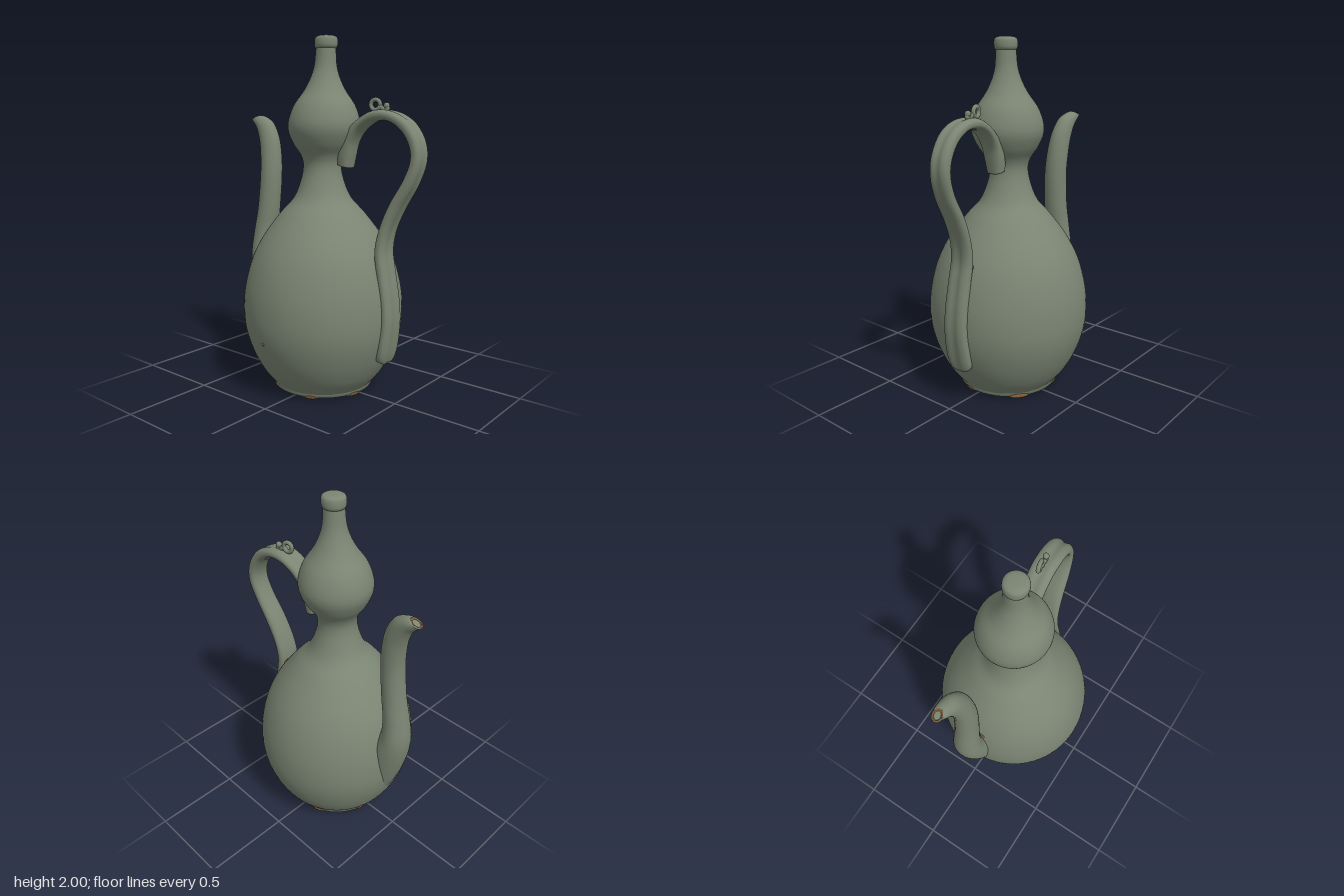
import * as THREE from 'three';

const celadon = new THREE.MeshStandardMaterial({ color: 0x7b8573 });
celadon.name = 'grey green glaze';
const clay = new THREE.MeshStandardMaterial({ color: 0x7c5836 });
clay.name = 'bare brown clay';

// Sideways lean of the hand-thrown body at a given height
function lean(y) {
  const k = [[0, -0.01], [0.7, -0.01], [1.25, -0.016], [1.55, -0.002], [2.1, 0.016]];
  for (let i = 1; i < k.length; i++) {
    if (y <= k[i][0]) return THREE.MathUtils.mapLinear(y, k[i - 1][0], k[i][0], k[i - 1][1], k[i][1]);
  }
  return k[k.length - 1][1];
}

function turned(points, smooth = 0) {
  let pts = points.map(([r, y]) => new THREE.Vector2(r, y));
  if (smooth) pts = new THREE.SplineCurve(pts).getPoints(smooth);
  pts.forEach((p) => { p.x = Math.max(p.x, 0); });
  const geo = new THREE.LatheGeometry(pts, 72);
  const pos = geo.attributes.position;
  for (let i = 0; i < pos.count; i++) pos.setX(i, pos.getX(i) + lean(pos.getY(i)));
  return geo;
}

// Sweep of oval sections, each [outer x, outer y, centre z, inner x, inner y, half depth];
// groove presses a channel along the outer face
function loft(sections, { steps = 80, groove = 0, power = 1 } = {}) {
  const curve = (k) => new THREE.CatmullRomCurve3(
    sections.map((s) => new THREE.Vector3(s[k], s[k + 1], s[k + 2])), false, 'catmullrom', 0.5);
  const outer = curve(0), inner = curve(3), n = 36;
  const pos = [], index = [];
  for (let i = 0; i <= steps; i++) {
    const o = outer.getPoint(i / steps), q = inner.getPoint(i / steps);
    const mx = (o.x + q.x) / 2, my = (o.y + q.y) / 2;
    for (let j = 0; j < n; j++) {
      const a = (j / n) * Math.PI * 2;
      let c = Math.cos(a), s = Math.sin(a);
      c = Math.sign(c) * Math.abs(c) ** power;
      s = Math.sign(s) * Math.abs(s) ** power;
      if (c > 0) c *= 1 - groove * Math.exp(-((s / 0.3) ** 2));
      pos.push(mx + (o.x - mx) * c, my + (o.y - my) * c, o.z + q.z * s);
      if (i < steps) {
        const p = i * n + j, r = i * n + ((j + 1) % n);
        index.push(p, r, p + n, r, r + n, p + n);
      }
    }
  }
  // Closing fans at both ends
  [0, steps].forEach((row) => {
    const o = outer.getPoint(row / steps), q = inner.getPoint(row / steps);
    const c = pos.length / 3;
    pos.push((o.x + q.x) / 2, (o.y + q.y) / 2, o.z);
    for (let j = 0; j < n; j++) {
      const p = row * n + j, r = row * n + ((j + 1) % n);
      if (row) index.push(c, p, r); else index.push(c, r, p);
    }
  });
  const geo = new THREE.BufferGeometry();
  geo.setAttribute('position', new THREE.Float32BufferAttribute(pos, 3));
  geo.setIndex(index);
  geo.computeVertexNormals();
  return geo;
}

export function createModel() {
  const group = new THREE.Group();
  const add = (name, geo, mat = celadon) => {
    const mesh = new THREE.Mesh(geo, mat);
    mesh.name = name;
    group.add(mesh);
    return mesh;
  };

  // Double-gourd body
  add('body', turned([
    [0.287, 0.035], [0.30, 0.05], [0.355, 0.12], [0.408, 0.22], [0.447, 0.34], [0.46, 0.46],
    [0.449, 0.6], [0.408, 0.75], [0.342, 0.88], [0.245, 1.01], [0.165, 1.1], [0.123, 1.2],
    [0.109, 1.28], [0.124, 1.34], [0.168, 1.405], [0.199, 1.475], [0.2, 1.54], [0.172, 1.62],
    [0.118, 1.7], [0.083, 1.77], [0.063, 1.84], [0.056, 1.93],
  ], 130));

  // Recessed base and foot ring
  add('foot', turned([[0, 0.055], [0.235, 0.05], [0.25, 0.03], [0.268, 0.014], [0.285, 0.016], [0.287, 0.037]]));
  add('footBareRing', turned([[0.243, 0.028], [0.252, 0.011], [0.272, 0.01], [0.276, 0.016]]), clay);

  // Kiln grit stuck to the foot: [angle in degrees, length, width]
  [[-52, 0.06, 0.025], [12, 0.05, 0.016], [65, 0.045, 0.016], [125, 0.04, 0.014],
    [-112, 0.05, 0.018], [-165, 0.045, 0.016]].forEach(([deg, len, wide]) => {
    const a = THREE.MathUtils.degToRad(deg);
    const lump = add('footGrit', new THREE.SphereGeometry(1, 14, 10), clay);
    lump.scale.set(wide, 0.015, len);
    lump.position.set(Math.cos(a) * 0.272 - 0.01, 0.017, Math.sin(a) * 0.272);
    lump.rotation.y = -a;
  });

  // Stopper closing the neck
  add('stopper', turned([
    [0.045, 1.925], [0.057, 1.931], [0.064, 1.945], [0.065, 1.97], [0.06, 1.988], [0.045, 1.997], [0.02, 2], [0, 2],
  ], 40));

  // Spout
  add('spout', loft([
    [-0.38, 0.18, 0, -0.25, 0.25, 0.05],
    [-0.44, 0.28, 0, -0.28, 0.35, 0.08],
    [-0.50, 0.42, 0, -0.30, 0.48, 0.1],
    [-0.548, 0.58, -0.005, -0.34, 0.64, 0.104],
    [-0.567, 0.72, -0.01, -0.40, 0.74, 0.092],
    [-0.553, 0.85, -0.012, -0.408, 0.86, 0.078],
    [-0.525, 1.0, -0.015, -0.39, 1.0, 0.07],
    [-0.508, 1.18, -0.02, -0.376, 1.18, 0.067],
    [-0.512, 1.3, -0.028, -0.38, 1.31, 0.064],
    [-0.53, 1.4, -0.036, -0.402, 1.43, 0.058],
    [-0.56, 1.475, -0.043, -0.45, 1.52, 0.05],
    [-0.595, 1.515, -0.048, -0.51, 1.558, 0.04],
    [-0.622, 1.537, -0.05, -0.552, 1.568, 0.03],
  ]));
  // Shallow bare opening at the tip
  add('spoutMouth', loft([
    [-0.621, 1.541, -0.05, -0.556, 1.571, 0.027],
    [-0.613, 1.545, -0.05, -0.564, 1.568, 0.021],
    [-0.608, 1.541, -0.05, -0.567, 1.561, 0.017],
  ], { steps: 8 }), clay);

  // Grooved strap handle
  add('handle', loft([
    [0.09, 1.295, -0.03, 0.17, 1.275, 0.05],
    [0.10, 1.37, -0.03, 0.183, 1.34, 0.057],
    [0.15, 1.47, -0.03, 0.203, 1.42, 0.06],
    [0.23, 1.545, -0.036, 0.25, 1.488, 0.062],
    [0.33, 1.592, -0.044, 0.32, 1.528, 0.064],
    [0.44, 1.585, -0.05, 0.415, 1.53, 0.064],
    [0.54, 1.53, -0.056, 0.495, 1.48, 0.062],
    [0.605, 1.43, -0.06, 0.543, 1.4, 0.06],
    [0.616, 1.32, -0.058, 0.55, 1.32, 0.06],
    [0.578, 1.2, -0.048, 0.512, 1.22, 0.06],
    [0.505, 1.07, -0.038, 0.437, 1.09, 0.064],
    [0.452, 0.95, -0.028, 0.388, 0.96, 0.067],
    [0.435, 0.84, -0.02, 0.368, 0.84, 0.07],
    [0.452, 0.73, -0.016, 0.385, 0.72, 0.072],
    [0.478, 0.58, -0.015, 0.41, 0.58, 0.074],
    [0.486, 0.45, -0.015, 0.42, 0.45, 0.076],
    [0.47, 0.31, -0.016, 0.405, 0.32, 0.08],
    [0.45, 0.23, -0.018, 0.385, 0.25, 0.07],
    [0.43, 0.205, -0.018, 0.37, 0.23, 0.03],
  ], { steps: 150, groove: 0.3, power: 0.8 }));

  // Small tie loop and curl on top of the handle
  const loop = add('handleLoop', new THREE.TorusGeometry(0.027, 0.012, 12, 28));
  loop.position.set(0.312, 1.62, -0.052);
  loop.rotation.y = 0.2;
  const curl = add('handleCurl', new THREE.TubeGeometry(new THREE.CatmullRomCurve3([
    new THREE.Vector3(0.325, 1.595, -0.05), new THREE.Vector3(0.35, 1.605, -0.054),
    new THREE.Vector3(0.368, 1.587, -0.056), new THREE.Vector3(0.385, 1.595, -0.058),
    new THREE.Vector3(0.382, 1.612, -0.058),
  ]), 24, 0.013, 10));
  const tip = add('handleCurlTip', new THREE.SphereGeometry(0.017, 14, 10));
  tip.position.set(0.38, 1.614, -0.058);

  // Bare clay spots at the joints and on the belly
  [['spoutJointSpot', -0.412, 0.745, 0.03, 0.012, 0.024, 0.03],
    ['handleJointSpot', 0.372, 0.805, -0.04, 0.012, 0.03, 0.035],
    ['bellySpot', -0.07, 0.33, 0.439, 0.011, 0.011, 0.005]].forEach(([name, x, y, z, sx, sy, sz]) => {
    const spot = add(name, new THREE.SphereGeometry(1, 12, 8), clay);
    spot.position.set(x, y, z);
    spot.scale.set(sx, sy, sz);
  });

  return group;
}
